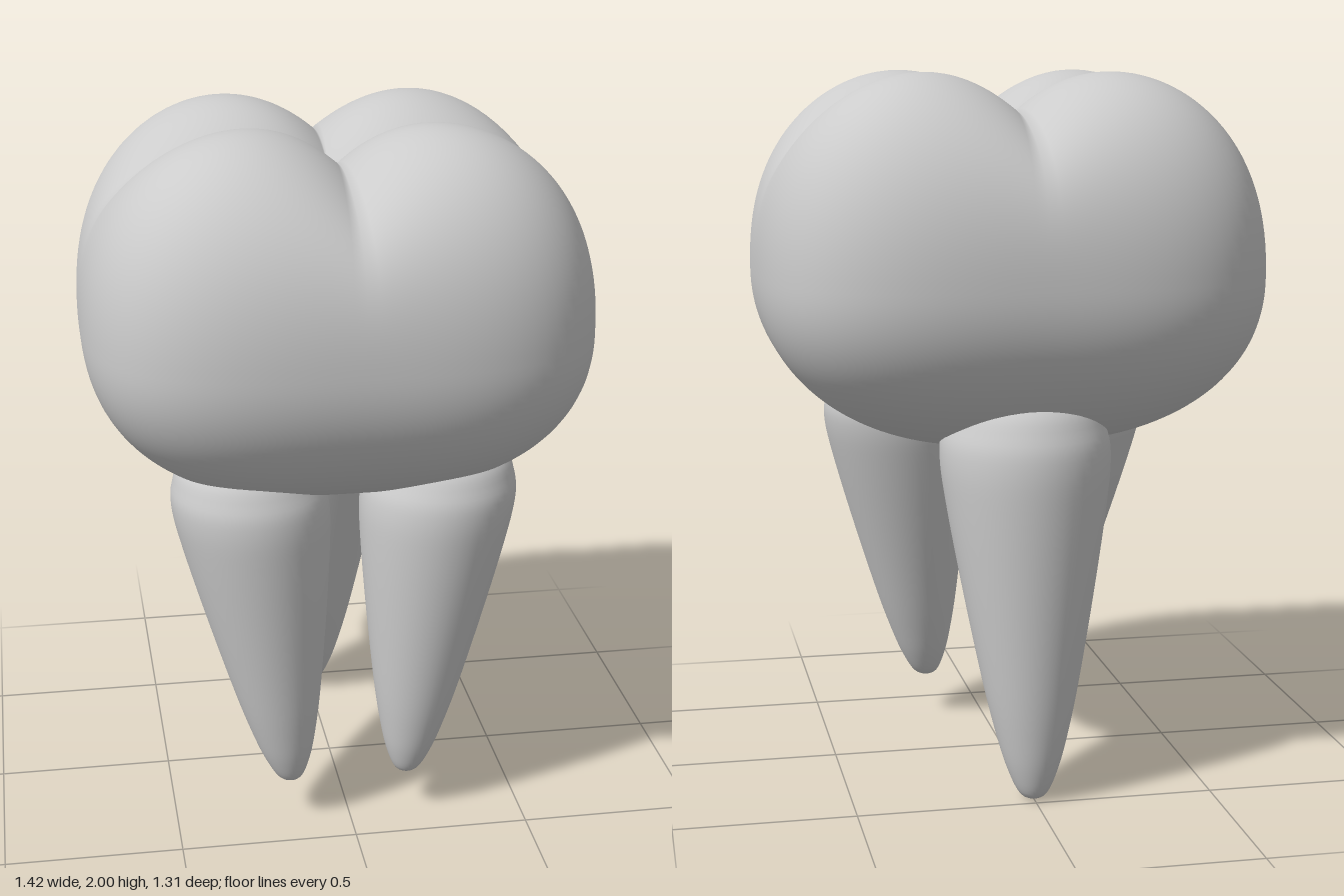
import * as THREE from 'three';
import { mergeVertices } from 'three/addons/utils/BufferGeometryUtils.js';

const material = new THREE.MeshStandardMaterial({ color: 0xcccccc });

// Moves every vertex by a rule, then welds seams and recomputes smooth normals
function reshape(geometry, rule) {
  const pos = geometry.attributes.position;
  const v = new THREE.Vector3();
  for (let i = 0; i < pos.count; i++) {
    rule(v.fromBufferAttribute(pos, i));
    pos.setXYZ(i, v.x, v.y, v.z);
  }
  geometry.deleteAttribute('uv');
  geometry.deleteAttribute('normal');
  const welded = mergeVertices(geometry, 1e-5);
  welded.computeVertexNormals();
  return welded;
}

// Crown: rounded-square bulb whose top is cut by two crossing grooves into four cusps
function crownGeometry() {
  const halfX = 0.71, halfZ = 0.655, midY = 1.44, up = 0.71, down = 0.5;
  const planPower = 3.3, sidePower = 2.2;
  return reshape(new THREE.SphereGeometry(1, 128, 88), (v) => {
    const ring = Math.min(1, Math.hypot(v.x, v.z));
    const r = Math.pow(ring, 2 / sidePower);
    const c = ring > 1e-6 ? v.x / ring : 0;
    const s = ring > 1e-6 ? v.z / ring : 0;
    const plan = ring > 1e-6
      ? Math.pow(Math.abs(c) ** planPower + Math.abs(s) ** planPower, -1 / planPower) : 0;
    const h = Math.pow(Math.abs(v.y), 2 / sidePower);
    const x = halfX * r * c * plan;
    const z = halfZ * r * s * plan;
    let y = midY + (v.y > 0 ? up : -down) * h;
    if (v.y > 0) {
      const groove = 0.183 * Math.exp(-Math.abs(x) / 0.2) + 0.153 * Math.exp(-Math.abs(z) / 0.2);
      y -= groove * (1 - r ** 4);
    }
    v.set(x, y, z);
  });
}

// Root: tapered cone with a rounded tip, leaning from its tip to its wide shoulder
function rootGeometry(tip, shoulder, radius) {
  const profile = [
    [0, 0], [0.16, 0.018], [0.3, 0.09], [0.42, 0.19], [0.56, 0.34], [0.76, 0.6],
    [0.93, 0.85], [1, 1], [0.95, 1.09], [0.74, 1.18], [0, 1.27],
  ].map(([r, t]) => new THREE.Vector2(r, t));
  const points = new THREE.SplineCurve(profile).getPoints(50);
  points.forEach((p) => { p.x = Math.max(0, p.x); });
  return reshape(new THREE.LatheGeometry(points, 48), (v) => {
    const t = v.y;
    v.set(
      v.x * radius + THREE.MathUtils.lerp(tip[0], shoulder[0], t),
      THREE.MathUtils.lerp(tip[1], shoulder[1], t),
      v.z * radius + THREE.MathUtils.lerp(tip[2], shoulder[2], t),
    );
  });
}

export function createModel() {
  const group = new THREE.Group();
  group.name = 'molarTooth';
  const add = (name, geometry) => {
    const mesh = new THREE.Mesh(geometry, material);
    mesh.name = name;
    group.add(mesh);
  };

  add('crown', crownGeometry());

  // Two front roots, mirrored, and one longer back root
  for (const [name, side] of [['frontLeftRoot', 1], ['frontRightRoot', -1]]) {
    add(name, rootGeometry([0.17 * side, 0.12, 0.36], [0.265 * side, 0.95, 0.275], 0.22));
  }
  add('backRoot', rootGeometry([0, 0, -0.46], [0, 0.95, -0.34], 0.237));

  return group;
}
